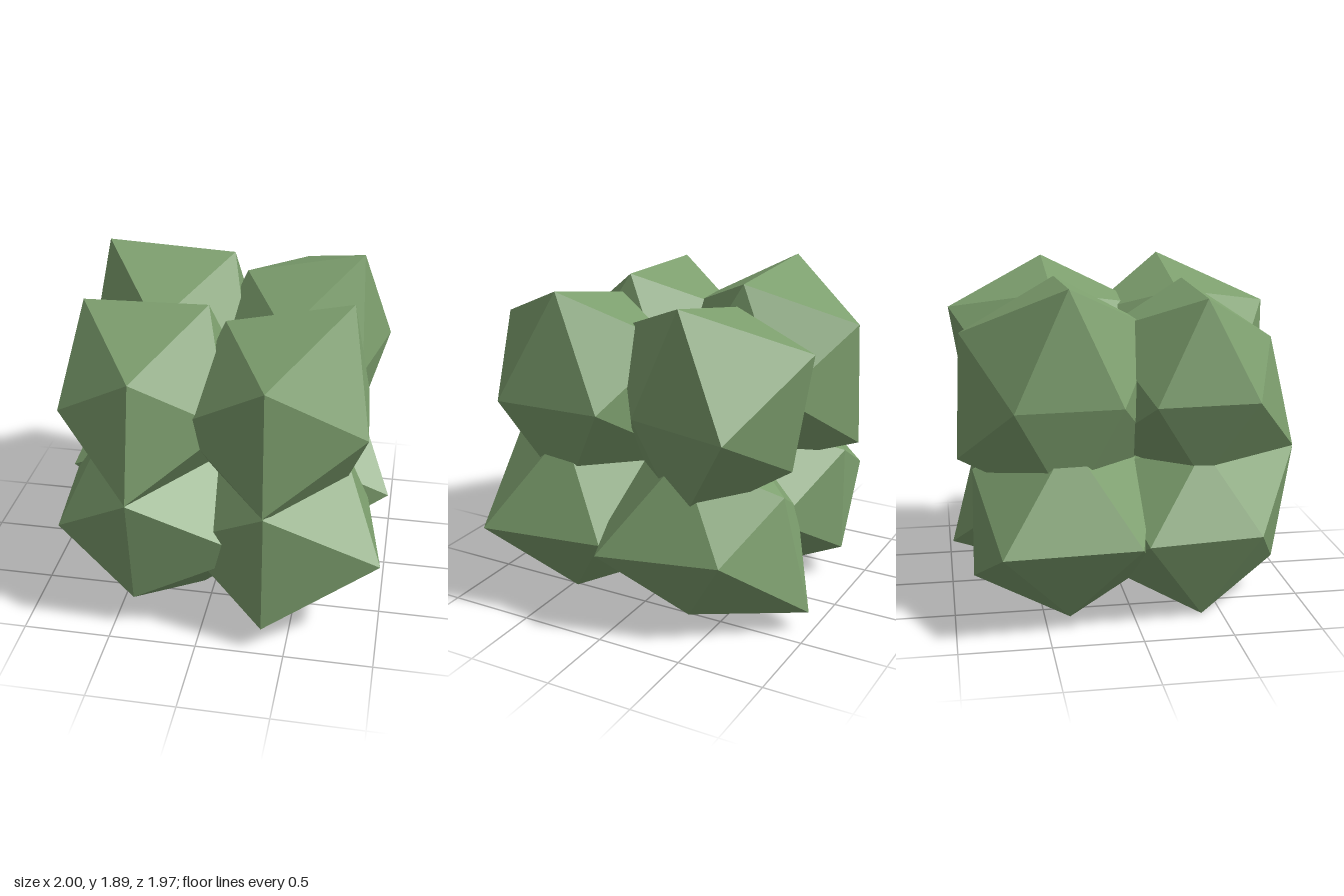
import * as THREE from 'three';

// Each clump is an icosahedron whose twelve corners are pushed in or out along their own direction.
// Radii are grouped by the plane the corner lies in; signs run ++, -+, +-, --.
// xy: (x, y) signs, yz: (y, z) signs, xz: (x, z) signs
const CLUMPS = [
  { name: 'upperLeftFrontClump', at: [0.367, 1.262, 0.385],
    xy: [0.742, 0.57, 0.65, 0.6], yz: [0.7, 0.7, 0.6, 0.6], xz: [0.61, 0.6, 0.56, 0.6] },
  { name: 'upperLeftBackClump', at: [0.367, 1.262, -0.364],
    xy: [0.737, 0.57, 0.68, 0.6], yz: [0.69, 0.6, 0.706, 0.58], xz: [0.5, 0.6, 0.652, 0.6] },
  { name: 'lowerLeftFrontClump', at: [0.367, 0.516, 0.385],
    xy: [0.67, 0.6, 0.508, 0.51], yz: [0.67, 0.686, 0.6, 0.52], xz: [0.738, 0.6, 0.6, 0.6] },
  { name: 'lowerLeftBackClump', at: [0.367, 0.516, -0.364],
    xy: [0.66, 0.6, 0.508, 0.567], yz: [0.6, 0.7, 0.53, 0.73], xz: [0.738, 0.6, 0.53, 0.6] },
  { name: 'upperRightFrontClump', at: [-0.378, 1.262, 0.385],
    xy: [0.672, 0.653, 0.6, 0.55], yz: [0.525, 0.705, 0.63, 0.6], xz: [0.6, 0.526, 0.6, 0.56] },
  { name: 'upperRightBackClump', at: [-0.378, 1.262, -0.364],
    xy: [0.7, 0.74, 0.6, 0.68], yz: [0.64, 0.6, 0.66, 0.697], xz: [0.6, 0.54, 0.55, 0.575] },
  { name: 'lowerRightFrontClump', at: [-0.378, 0.516, 0.385],
    xy: [0.65, 0.54, 0.597, 0.595], yz: [0.705, 0.58, 0.6, 0.6], xz: [0.77, 0.57, 0.6, 0.653] },
  { name: 'lowerRightBackClump', at: [-0.378, 0.516, -0.364],
    xy: [0.6, 0.66, 0.55, 0.565], yz: [0.6, 0.6, 0.6, 0.61], xz: [0.6, 0.695, 0.6, 0.736] },
];

const signIndex = (u, v) => (u < 0 ? 1 : 0) + (v < 0 ? 2 : 0);

function clumpGeometry({ xy, yz, xz }) {
  const geometry = new THREE.IcosahedronGeometry(1, 0);
  const position = geometry.attributes.position;
  const p = new THREE.Vector3();
  for (let i = 0; i < position.count; i++) {
    p.fromBufferAttribute(position, i);
    let radius;
    if (Math.abs(p.z) < 0.01) radius = xy[signIndex(p.x, p.y)];
    else if (Math.abs(p.x) < 0.01) radius = yz[signIndex(p.y, p.z)];
    else radius = xz[signIndex(p.x, p.z)];
    p.multiplyScalar(radius);
    position.setXYZ(i, p.x, p.y, p.z);
  }
  geometry.computeVertexNormals(); // unshared corners give flat faces
  return geometry;
}

export function createModel() {
  const group = new THREE.Group();
  group.name = 'bush';
  const leaf = new THREE.MeshStandardMaterial({ color: 0x7d9f6e, flatShading: true });
  leaf.name = 'leaf green';

  // Eight clumps on the corners of a cube
  for (const clump of CLUMPS) {
    const mesh = new THREE.Mesh(clumpGeometry(clump), leaf);
    mesh.name = clump.name;
    mesh.position.set(...clump.at);
    group.add(mesh);
  }
  return group;
}
